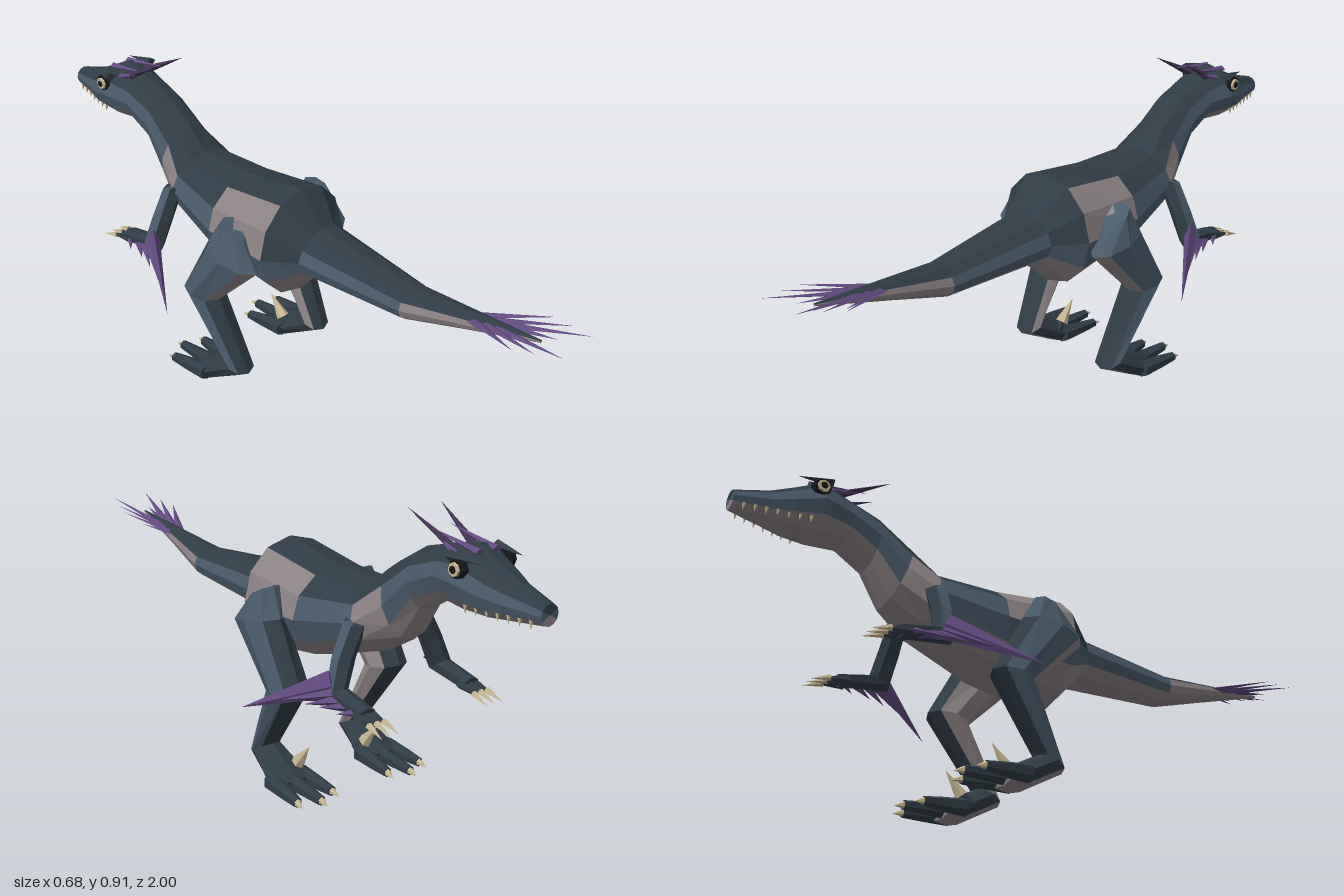
import * as THREE from 'three';

const mat = (name, color) => Object.assign(new THREE.MeshStandardMaterial({ color }), { name });
const dark = mat('dark slate', 0x303c45);
const blue = mat('slate blue', 0x4a5b6b);
const grey = mat('warm grey', 0x8a8183);
const purple = mat('purple', 0x614a80);
const deepPurple = mat('deep purple', 0x40304f);
const bone = mat('bone', 0xc9ba94);
const black = mat('black', 0x15171a);
const palette = [dark, blue, grey];

// Faceted skin through rings [az, ay, bz, by, x, halfWidth]; a and b are opposite ends of the ring.
// paint(segment, facet) returns a palette index.
function loft(name, rings, n, paint) {
  const loops = rings.map(([az, ay, bz, by, x, w]) => {
    const out = [];
    for (let j = 0; j < n; j++) {
      const t = (j / n) * Math.PI * 2, c = Math.cos(t) / 2;
      out.push(new THREE.Vector3(x + w * Math.sin(t), (ay + by) / 2 + c * (ay - by), (az + bz) / 2 + c * (az - bz)));
    }
    return out;
  });
  const tris = palette.map(() => []);
  const last = loops.length - 1;
  const mid = (l) => l.reduce((s, p) => s.add(p), new THREE.Vector3()).divideScalar(n);
  const c0 = mid(loops[0]), c1 = mid(loops[last]);
  for (let j = 0; j < n; j++) {
    const k = (j + 1) % n;
    for (let i = 0; i < last; i++) {
      const a = loops[i][j], b = loops[i][k], c = loops[i + 1][k], d = loops[i + 1][j];
      tris[paint(i, j)].push([a, b, c], [a, c, d]);
    }
    tris[paint(0, j)].push([c0, loops[0][k], loops[0][j]]);
    tris[paint(last - 1, j)].push([c1, loops[last][j], loops[last][k]]);
  }
  // Signed volume decides the winding
  let volume = 0;
  tris.flat().forEach(([a, b, c]) => { volume += a.clone().sub(c0).dot(b.clone().sub(c0).cross(c.clone().sub(c0))); });
  const pts = [], geo = new THREE.BufferGeometry();
  tris.forEach((list, m) => {
    geo.addGroup(pts.length, list.length * 3, m);
    list.forEach(([a, b, c]) => (volume > 0 ? pts.push(a, b, c) : pts.push(a, c, b)));
  });
  geo.setFromPoints(pts);
  geo.computeVertexNormals();
  const mesh = new THREE.Mesh(geo, palette);
  mesh.name = name;
  return mesh;
}

// Faceted spike from base to tip, rx wide and ry tall
function spike(name, material, base, tip, rx, ry = rx, sides = 4) {
  const from = new THREE.Vector3(...base), to = new THREE.Vector3(...tip);
  const len = from.distanceTo(to);
  let geo = new THREE.ConeGeometry(1, len, sides).rotateX(Math.PI / 2).translate(0, 0, len / 2).scale(rx, ry, 1);
  geo = geo.toNonIndexed();
  geo.computeVertexNormals();
  const mesh = new THREE.Mesh(geo, material);
  mesh.name = name;
  mesh.position.copy(from);
  mesh.lookAt(to);
  return mesh;
}

function makeBody() {
  const rings = [
    [0.89, 0.614, 0.89, 0.606, 0, 0.004],
    [0.66, 0.592, 0.66, 0.535, 0, 0.035],
    [0.47, 0.572, 0.47, 0.475, 0, 0.063],
    [0.12, 0.607, 0.12, 0.458, 0, 0.1],
    [0.03, 0.704, 0.03, 0.357, 0, 0.167],
    [-0.2, 0.668, -0.2, 0.395, 0, 0.162],
    [-0.39, 0.667, -0.43, 0.475, 0, 0.125],
    [-0.46, 0.735, -0.53, 0.535, 0, 0.088],
    [-0.57, 0.803, -0.59, 0.635, 0, 0.078],
    [-0.68, 0.835, -0.67, 0.685, 0, 0.08],
    [-0.76, 0.854, -0.76, 0.678, 0, 0.098],
    [-0.84, 0.812, -0.84, 0.678, 0, 0.078],
    [-0.9, 0.785, -0.9, 0.685, 0, 0.055],
    [-1.0, 0.756, -1.0, 0.698, 0, 0.03],
  ];
  // Facet colours from back to belly, one row per segment
  const plain = '001122';
  const rows = ['002222', '002222', plain, '000122', '022122', plain, '002222'];
  return loft('body', rings, 12, (s, j) => +(rows[s] || plain)[Math.min(j, 11 - j)]);
}

// One leg on the +x side
function makeLeg() {
  const leg = new THREE.Group();
  leg.name = 'leg';
  leg.add(loft('thighAndShin', [
    [-0.12, 0.615, -0.04, 0.57, 0.17, 0.045],
    [-0.17, 0.53, 0.03, 0.49, 0.182, 0.058],
    [-0.27, 0.34, -0.14, 0.32, 0.182, 0.062],
    [-0.11, 0.125, -0.03, 0.085, 0.167, 0.046],
  ], 8, (s, j) => (j === 1 || j === 2 ? 1 : j === 5 || j === 6 ? 2 : j > 2 && j < 5 && s === 1 ? 2 : s === 0 ? 1 : 0)));
  leg.add(loft('foot', [
    [-0.11, 0.125, -0.03, 0.085, 0.167, 0.046],
    [-0.2, 0.075, -0.17, 0.004, 0.167, 0.068],
    [-0.23, 0.055, -0.22, 0.012, 0.167, 0.06],
  ], 8, (s, j) => (j === 3 || j === 4 ? 2 : 0)));
  for (const s of [-1, 0, 1]) {
    const x = 0.167 + s * 0.05, reach = s ? 0 : 0.03;
    leg.add(loft('toe', [
      [-0.17, 0.07, -0.17, 0.014, x, 0.028],
      [-0.25, 0.058, -0.25, 0.014, x + s * 0.006, 0.023],
      [-0.315 - reach, 0.046, -0.315 - reach, 0.016, x + s * 0.012, 0.015],
    ], 6, () => 0));
    leg.add(spike('toeClaw', bone, [x + s * 0.012, 0.032, -0.31 - reach], [x + s * 0.016, 0.024, -0.345 - reach], 0.013, 0.013, 6));
  }
  // Raised sickle claw on the inner toe
  leg.add(spike('sickleToe', dark, [0.125, 0.05, -0.15], [0.125, 0.12, -0.2], 0.022, 0.022, 6));
  leg.add(spike('sickleClaw', bone, [0.127, 0.08, -0.18], [0.127, 0.148, -0.235], 0.02, 0.022, 6));
  return leg;
}

// One arm with claws and feathers on the +x side
function makeArm() {
  const arm = new THREE.Group();
  arm.name = 'arm';
  arm.add(loft('upperArmAndForearm', [
    [-0.45, 0.57, -0.385, 0.585, 0.11, 0.035],
    [-0.455, 0.49, -0.39, 0.48, 0.155, 0.035],
    [-0.465, 0.415, -0.405, 0.375, 0.187, 0.032],
    [-0.565, 0.392, -0.56, 0.352, 0.187, 0.03],
  ], 6, (s, j) => (s < 2 && j === 1 ? 1 : 0)));
  for (const s of [-1, 0, 1]) {
    const x = 0.187 + s * 0.025;
    arm.add(spike('finger', dark, [x - s * 0.006, 0.372, -0.54], [x, 0.355, -0.635], 0.014, 0.016, 5));
    arm.add(spike('fingerClaw', bone, [x, 0.362, -0.6], [x + s * 0.004, 0.343, -0.66], 0.01, 0.01, 5));
  }
  const feathers = [
    [[0.195, 0.42, -0.43], [0.338, 0.312, -0.2], 0.02, 0.04],
    [[0.195, 0.4, -0.45], [0.28, 0.355, -0.31], 0.02, 0.025],
    [[0.195, 0.39, -0.48], [0.255, 0.36, -0.38], 0.018, 0.02],
    [[0.195, 0.38, -0.51], [0.245, 0.365, -0.43], 0.016, 0.018],
    [[0.195, 0.378, -0.55], [0.238, 0.365, -0.495], 0.014, 0.016],
  ];
  feathers.forEach(([a, b, rx, ry]) => arm.add(spike('armFeather', purple, a, b, rx, ry)));
  return arm;
}

// One half of the face, crest and tail fan on the +x side
function makeTrim() {
  const trim = new THREE.Group();
  trim.name = 'crestEyeTeethAndTailFan';
  const disc = (name, m, r, x, depth) => {
    const geo = new THREE.CylinderGeometry(r * 0.8, r, depth, 8).rotateZ(-Math.PI / 2).toNonIndexed();
    geo.computeVertexNormals();
    const mesh = new THREE.Mesh(geo, m);
    mesh.name = name;
    mesh.position.set(x, 0.802, -0.772);
    trim.add(mesh);
  };
  disc('eyeSocket', black, 0.03, 0.085, 0.02);
  disc('eye', bone, 0.022, 0.092, 0.018);
  disc('pupil', black, 0.012, 0.1, 0.008);
  trim.add(spike('brow', dark, [0.082, 0.83, -0.74], [0.07, 0.825, -0.84], 0.02, 0.014));
  trim.add(spike('crestFeather', deepPurple, [0.032, 0.825, -0.715], [0.058, 0.912, -0.55], 0.018, 0.014));
  trim.add(spike('crestFeather', purple, [0.03, 0.838, -0.79], [0.035, 0.868, -0.61], 0.014, 0.01));
  trim.add(spike('crestFeather', purple, [0.05, 0.825, -0.73], [0.042, 0.86, -0.63], 0.012, 0.01));
  // Upper teeth
  for (let i = 0; i < 7; i++) {
    const z = -0.97 + i * 0.03, x = 0.03 + i * 0.0068;
    trim.add(spike('tooth', bone, [x, 0.712, z], [x + 0.002, 0.69, z - 0.002], 0.006, 0.006));
  }
  // Tail fan, widening and rising towards the tip
  const fan = [[0.66, 0.05, 0.585, 0.83], [0.68, 0.1, 0.625, 0.87], [0.72, 0.085, 0.635, 0.93], [0.76, 0.065, 0.648, 1.0], [0.78, 0.03, 0.615, 0.92]];
  fan.forEach(([z, x, y, end]) => trim.add(spike('tailFeather', purple, [0.012, 0.575 + (z - 0.66) * 0.15, z], [x, y, end], 0.016, 0.008)));
  return trim;
}

export function createModel() {
  const model = new THREE.Group();
  model.name = 'featheredRaptor';
  model.add(makeBody());
  for (const side of [1, -1]) {
    const half = new THREE.Group();
    half.name = side > 0 ? 'plusSideLimbs' : 'minusSideLimbs';
    half.add(makeLeg(), makeArm(), makeTrim());
    half.scale.x = side;
    model.add(half);
  }
  return model;
}
